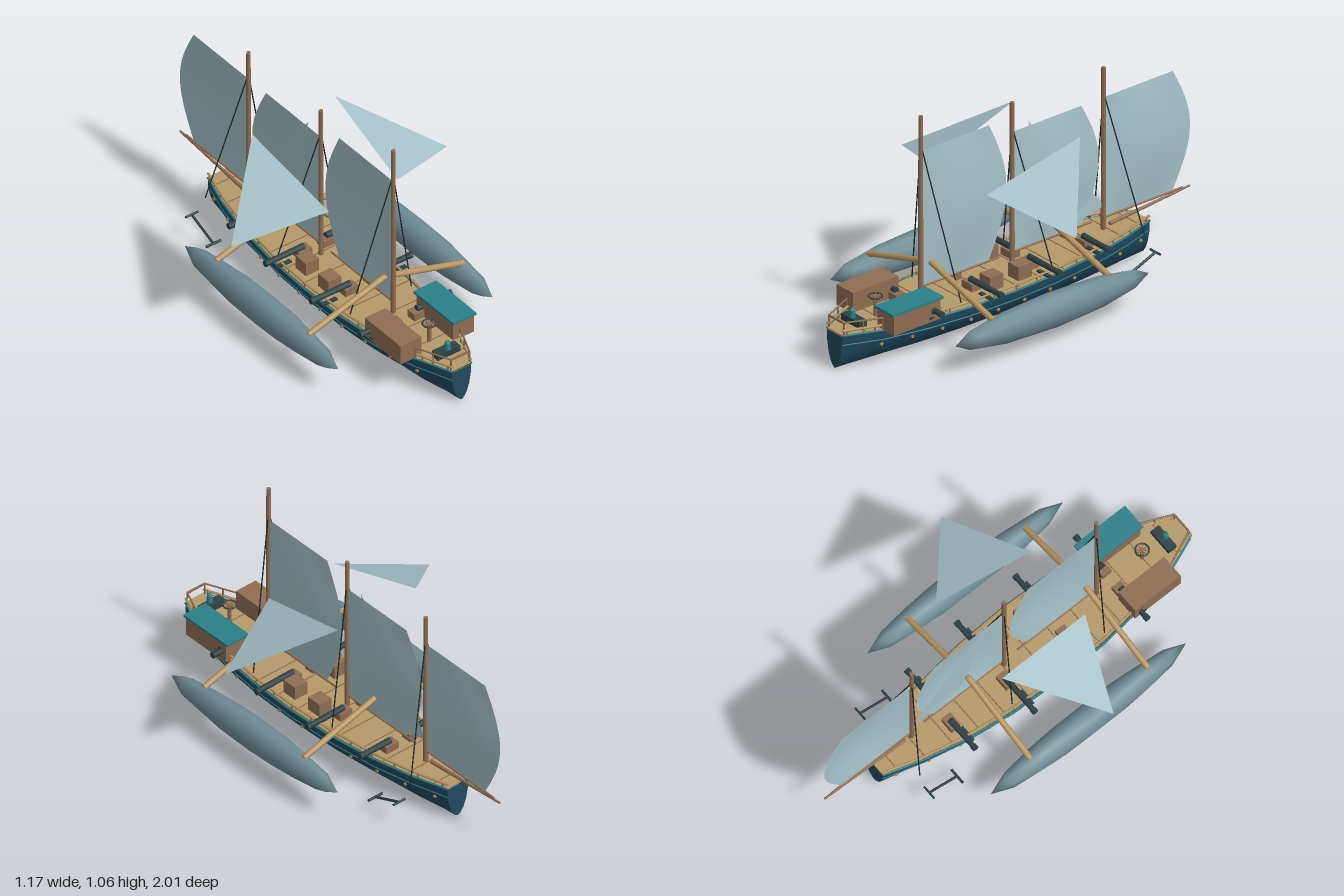
import * as THREE from 'three';

const mat = (name, color, double) => {
  const m = new THREE.MeshStandardMaterial({ color });
  m.name = name;
  if (double) m.side = THREE.DoubleSide;
  return m;
};
const V = (x, y, z) => new THREE.Vector3(x, y, z);

// Half width of the hull along z
const beam = [[-0.725, 0.06], [-0.55, 0.115], [-0.35, 0.16], [-0.1, 0.192], [0.15, 0.202],
  [0.4, 0.195], [0.6, 0.172], [0.82, 0.125], [1, 0.052]];
function halfWidth(z) {
  let i = 0;
  while (i < beam.length - 2 && z > beam[i + 1][0]) i++;
  const [z0, a] = beam[i], [z1, b] = beam[i + 1];
  return a + (b - a) * (z - z0) / (z1 - z0);
}
// Cross-section from gunwale to keel: fraction of half width, height
const section = [[1, 0.178], [0.985, 0.15], [0.95, 0.12], [0.8, 0.075], [0.55, 0.035], [0.27, 0.013], [0, 0.003]];
const ring = [...section.map(([f, y]) => [-f, y]), ...section.slice(0, -1).reverse()];
const Z0 = -0.725, Z1 = 1;

function hullGeometry() {
  const n = 28, k = ring.length, pos = [], idx = [];
  for (let i = 0; i <= n; i++) {
    const z = Z0 + (Z1 - Z0) * i / n;
    for (const [f, y] of ring) pos.push(f * halfWidth(z), y, z);
  }
  for (let i = 0; i < n; i++) for (let j = 0; j < k - 1; j++) {
    const a = i * k + j, b = a + 1, c = a + k, d = c + 1;
    idx.push(a, b, c, b, d, c);
  }
  const g = new THREE.BufferGeometry();
  g.setAttribute('position', new THREE.Float32BufferAttribute(pos, 3));
  g.setIndex(idx);
  g.computeVertexNormals();
  return g;
}

function sailGeometry(width, belly, y0, y1) {
  const g = new THREE.PlaneGeometry(1, 1, 10, 12), p = g.attributes.position;
  for (let i = 0; i < p.count; i++) {
    const u = p.getX(i) + 0.5, v = p.getY(i) + 0.5, s = Math.sin(Math.PI * v);
    p.setXYZ(i, 0.027 * Math.sin(Math.PI * u) * s, y0 + (y1 - y0) * v, -u * (width + belly * s));
  }
  g.computeVertexNormals();
  return g;
}

function triangle(a, b, c) {
  const g = new THREE.BufferGeometry().setFromPoints([a, b, c]);
  g.computeVertexNormals();
  return g;
}

export function createModel() {
  const root = new THREE.Group();
  root.name = 'outriggerShip';
  const hullBlue = mat('hullBlue', 0x21495f, true), deckTan = mat('deckTan', 0xb59a6a);
  const brown = mat('timberBrown', 0x8f6d52), iron = mat('darkIron', 0x2c4145);
  const teal = mat('teal', 0x2a7f88), sailCloth = mat('sailCloth', 0xa4c1c7, true);
  const floatGrey = mat('floatGrey', 0x6f8c94), rope = mat('rope', 0x1b282c);
  const spar = mat('sparWood', 0xb8955f), brass = mat('brass', 0xb08a4e);

  const add = (name, geo, m, x = 0, y = 0, z = 0) => {
    const mesh = new THREE.Mesh(geo, m);
    mesh.name = name;
    mesh.position.set(x, y, z);
    root.add(mesh);
    return mesh;
  };
  const box = (name, m, w, h, d, x, y, z) => add(name, new THREE.BoxGeometry(w, h, d), m, x, y, z);
  const rod = (name, m, a, b, r, r2 = r, sides = 8) => {
    const d = b.clone().sub(a);
    const mesh = add(name, new THREE.CylinderGeometry(r2, r, d.length(), sides), m);
    mesh.position.copy(a).addScaledVector(d, 0.5);
    mesh.quaternion.setFromUnitVectors(V(0, 1, 0), d.normalize());
    return mesh;
  };

  // Hull with flat ends
  add('hull', hullGeometry(), hullBlue);
  for (const z of [Z0, Z1]) {
    const s = new THREE.Shape(ring.map(([f, y]) => new THREE.Vector2(f * halfWidth(z), y)));
    add('hullEnd', new THREE.ShapeGeometry(s), hullBlue, 0, 0, z);
  }

  // Deck slab and plank seams
  const outline = [...beam.map(([z, w]) => [w, z]), ...beam.map(([z, w]) => [-w, z]).reverse()];
  const deck = new THREE.ExtrudeGeometry(
    new THREE.Shape(outline.map(([x, z]) => new THREE.Vector2(x * 0.97, -z))), { depth: 0.01, bevelEnabled: false });
  add('deck', deck.rotateX(-Math.PI / 2), deckTan, 0, 0.17, 0);
  for (let i = 0; i < 13; i++) {
    const z = -0.66 + i * 0.13;
    box('deckSeam', brown, halfWidth(z) * 1.9, 0.003, 0.005, 0, 0.1805, z);
  }

  // Gunwale, strake and low rail following the sides
  for (const s of [-1, 1]) {
    for (let i = 0; i < beam.length - 1; i++) {
      const [z0, a] = beam[i], [z1, b] = beam[i + 1];
      const run = (name, m, k, y, r) => rod(name, m, V(s * a * k, y, z0), V(s * b * k, y, z1), r, r, 6);
      run('gunwale', teal, 1.01, 0.176, 0.005);
      run('strake', teal, 0.965, 0.129, 0.003);
      run('lowRail', spar, 0.96, 0.198, 0.006);
    }
    for (let i = 0; i < 15; i++) {
      const z = -0.7 + i * 0.12;
      rod('railPost', brown, V(s * halfWidth(z) * 0.96, 0.175, z), V(s * halfWidth(z) * 0.96, 0.203, z), 0.004, 0.004, 6);
    }
    // Stern handrail
    rod('sternRail', brown, V(s * 0.12, 0.235, 0.83), V(s * 0.05, 0.235, 0.99), 0.004);
    for (const [x, z] of [[0.12, 0.83], [0.085, 0.91], [0.05, 0.99]])
      rod('sternPost', brown, V(s * x, 0.18, z), V(s * x, 0.235, z), 0.004);
    // Portholes
    for (let i = 0; i < 11; i++) {
      const z = -0.66 + i * 0.149;
      const port = add('porthole', new THREE.CylinderGeometry(0.008, 0.008, 0.012, 10), brass,
        s * halfWidth(z) * 0.91, 0.107, z);
      port.rotation.z = Math.PI / 2;
    }
  }
  box('sternRail', brown, 0.1, 0.008, 0.008, 0, 0.235, 0.99);

  // Masts, booms, sails and shrouds: z, mast top, sail top, width, shroud top
  for (const [z, top, sailTop, width, shroud] of [
    [0.515, 1.06, 0.89, 0.38, 0.925], [0, 0.96, 0.815, 0.385, 0.84], [-0.515, 0.96, 0.815, 0.385, 0.84]]) {
    rod('mast', brown, V(0, 0.17, z), V(0, top, z), 0.012, 0.01, 10);
    rod('boom', brown, V(0, 0.236, z), V(0, 0.236, z - width - 0.06), 0.005);
    add('mainSail', sailGeometry(width, 0.098, 0.24, sailTop), sailCloth, 0, 0, z - 0.005);
    for (const s of [-1, 1])
      rod('shroud', rope, V(0, shroud, z), V(s * 0.165, 0.19, z - 0.09), 0.003, 0.003, 5);
  }
  add('staySail', triangle(V(0, 0.84, -0.09), V(0.01, 0.25, -0.24), V(0, 0.29, -0.52)), sailCloth);
  rod('bowsprit', brown, V(0, 0.195, -0.55), V(0, 0.232, -1), 0.009, 0.005);

  for (const s of [-1, 1]) {
    // Outrigger float and its arms
    add('outriggerFloat', new THREE.IcosahedronGeometry(1, 1).scale(0.067, 0.082, 0.545), floatGrey, s * 0.418, 0.16, 0.127);
    for (const z of [-0.195, 0.46]) rod('outriggerArm', spar, V(0, 0.342, z), V(s * 0.418, 0.218, z), 0.014);
    // Wing sail
    add('wingSail', triangle(V(s * 0.223, 0.815, -0.195), V(s * 0.185, 0.68, 0.3), V(s * 0.585, 0.57, 0.13)), sailCloth);
    // Cannons on carriages
    for (const z of [-0.35, -0.045, 0.285, 0.6]) {
      const end = halfWidth(z) + 0.075;
      rod('cannonBarrel', iron, V(s * 0.06, 0.223, z), V(s * end, 0.223, z), 0.015, 0.012, 10);
      rod('cannonMuzzle', iron, V(s * (end - 0.02), 0.223, z), V(s * end, 0.223, z), 0.015, 0.015, 10);
      box('cannonCarriage', brown, 0.07, 0.035, 0.05, s * 0.066, 0.198, z);
      box('gunPort', iron, 0.08, 0.008, 0.02, s * (halfWidth(z) - 0.01), 0.195, z + 0.02);
    }
    // Deck crates
    for (const z of [0.05, 0.21]) box('crate', brown, 0.07, 0.068, 0.075, s * 0.112, 0.212, z);
    // Anchor
    rod('anchorShank', iron, V(s * 0.235, 0.065, -0.455), V(s * 0.235, 0.128, -0.61), 0.006);
    rod('anchorFluke', iron, V(s * 0.196, 0.065, -0.455), V(s * 0.275, 0.065, -0.455), 0.006);
    rod('anchorStock', iron, V(s * 0.2, 0.128, -0.61), V(s * 0.268, 0.128, -0.61), 0.005);
  }

  // Deck houses
  box('deckHouse', brown, 0.112, 0.098, 0.255, -0.14, 0.225, 0.697);
  box('deckHouse', brown, 0.112, 0.094, 0.26, 0.14, 0.223, 0.7);
  box('houseRoof', teal, 0.124, 0.012, 0.285, 0.14, 0.276, 0.698);
  const port = add('housePorthole', new THREE.TorusGeometry(0.013, 0.003, 6, 14), iron, 0.197, 0.225, 0.605);
  port.rotation.y = Math.PI / 2;

  // Steering wheel lying flat on its post
  rod('wheelPost', brown, V(0, 0.178, 0.77), V(0, 0.275, 0.77), 0.009);
  add('wheelRim', new THREE.TorusGeometry(0.03, 0.004, 6, 18).rotateX(Math.PI / 2), iron, 0, 0.275, 0.77);
  for (let i = 0; i < 4; i++) {
    box('wheelSpoke', brown, 0.07, 0.004, 0.005, 0, 0.275, 0.77).rotation.y = i * Math.PI / 4;
  }

  // Binnacle with lantern
  box('binnacle', iron, 0.12, 0.03, 0.045, 0, 0.2, 0.89);
  add('lantern', new THREE.CylinderGeometry(0.012, 0.015, 0.035, 8), teal, 0, 0.232, 0.9);
  add('lanternCap', new THREE.ConeGeometry(0.013, 0.017, 8), teal, 0, 0.258, 0.9);
  return root;
}
